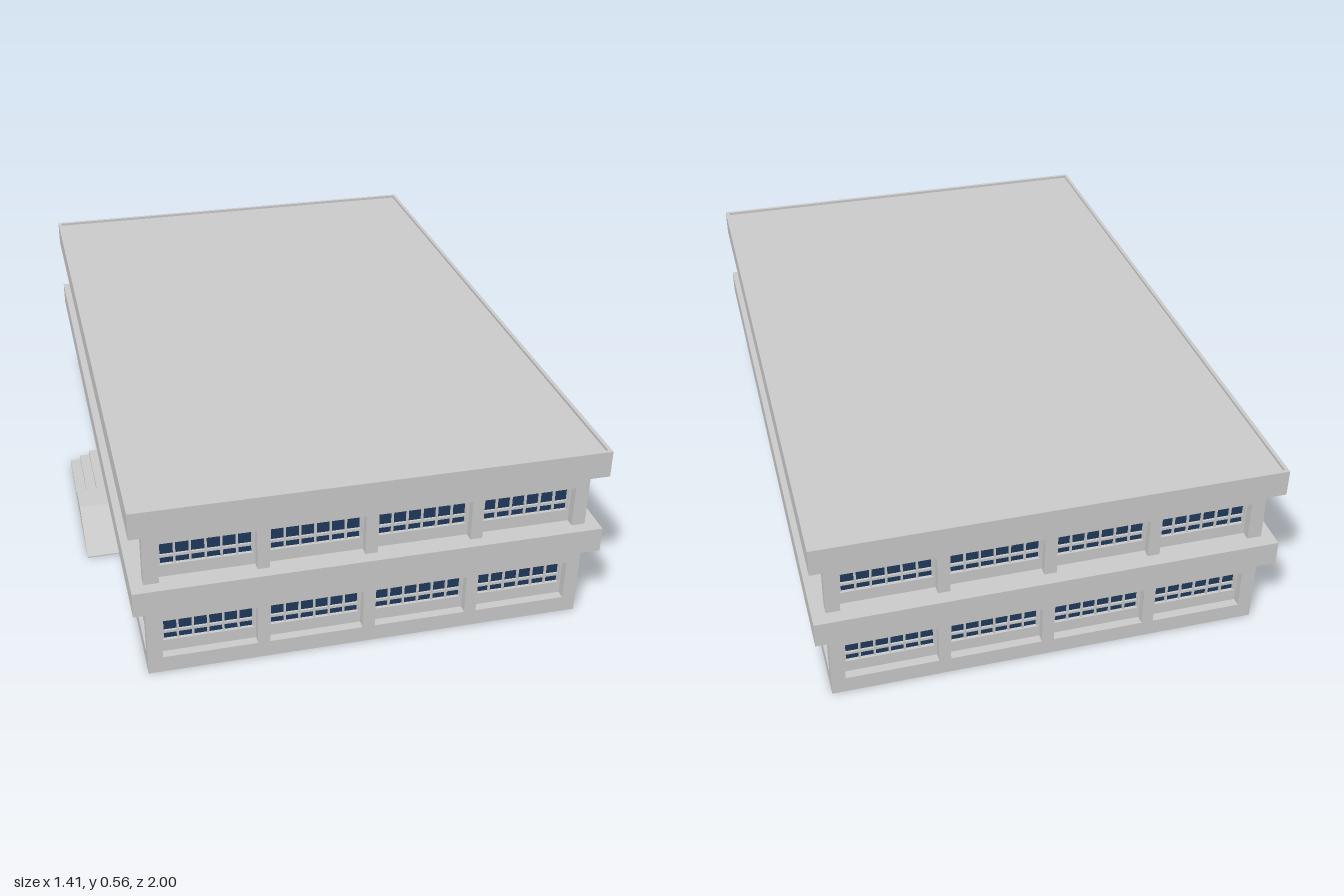
import * as THREE from 'three';
import { mergeGeometries } from 'three/addons/utils/BufferGeometryUtils.js';

const wallMat = new THREE.MeshStandardMaterial({ color: 0xcccccc });
const glassMat = new THREE.MeshStandardMaterial({ color: 0x203a5c });
const greenMat = new THREE.MeshStandardMaterial({ color: 0x2a9a78 });

const X0 = -0.597, X1 = 0.663, Z0 = -0.96, Z1 = 0.965; // outer wall faces
const CX = (X0 + X1) / 2, CZ = (Z0 + Z1) / 2;
const DEPTH = 0.026, FLOOR = 0.255;

function add(parent, name, geo, mat = wallMat) {
  const m = new THREE.Mesh(geo, mat);
  m.name = name;
  parent.add(m);
  return m;
}

// Box given by its lower and upper corners
function span(x0, x1, y0, y1, z0, z1) {
  return new THREE.BoxGeometry(x1 - x0, y1 - y0, z1 - z0)
    .translate((x0 + x1) / 2, (y0 + y1) / 2, (z0 + z1) / 2);
}

function rectPoints([x0, x1, y0, y1]) {
  return [[x0, y0], [x1, y0], [x1, y1], [x0, y1]].map(p => new THREE.Vector2(...p));
}

// Plate with rectangular holes, front face at z = front
function plate(outer, holes, front, thick) {
  const s = new THREE.Shape(rectPoints(outer));
  holes.forEach(h => s.holes.push(new THREE.Path(rectPoints(h).reverse())));
  return new THREE.ExtrudeGeometry(s, { depth: thick, bevelEnabled: false }).translate(0, 0, front - thick);
}

// Glass with a grid of bars; bars at the given heights cross the whole width
function glazing(parent, [a, b, c, d], columns, rails) {
  add(parent, 'glass', span(a, b, c, d, -0.042, -0.036), glassMat);
  const bars = [];
  for (let i = 0; i <= columns; i++) {
    const x = a + (b - a) * i / columns;
    bars.push(span(x - 0.003, x + 0.003, c, d, -0.038, -0.03));
  }
  rails.forEach(y => bars.push(span(a, b, y - 0.004, y + 0.004, -0.038, -0.03)));
  add(parent, 'windowBars', mergeGeometries(bars));
}

// Recessed panel holding a ribbon window
function windowBay(parent, a, b, base) {
  const g = new THREE.Group();
  g.name = 'windowBay';
  const win = [a + 0.006, b - 0.006, base + 0.038, base + 0.121];
  add(g, 'windowPanel', plate([a, b, base, base + 0.125], [win], -DEPTH, 0.012));
  glazing(g, win, 6, [base + 0.063]);
  parent.add(g);
}

// Solid panel with two small square windows
function blankBay(parent, a, b, base, centres) {
  const g = new THREE.Group();
  g.name = 'blankBay';
  const wins = centres.map(u => [u - 0.018, u + 0.018, base + 0.065, base + 0.101]);
  add(g, 'blankPanel', plate([a, b, base, base + 0.125], wins, -0.012, 0.024));
  wins.forEach(([x0, x1, y0, y1]) => {
    add(g, 'smallGlass', span(x0, x1, y0, y1, -0.03, -0.022), glassMat);
    add(g, 'smallFrame', plate([x0, x1, y0, y1], [[x0 + 0.006, x1 - 0.006, y0 + 0.006, y1 - 0.006]], -0.009, 0.014));
  });
  parent.add(g);
}

// Entrance bay: glazed doors, a solid pier and a side window
function entranceBay(parent, a, b) {
  const g = new THREE.Group();
  g.name = 'entrance';
  glazing(g, [a, a + 0.165, 0.045, 0.175], 4, [0.049, 0.14]);
  add(g, 'doorPier', span(a + 0.165, a + 0.225, 0.045, 0.175, -0.045, -0.005));
  const win = [a + 0.235, b - 0.008, 0.112, 0.168];
  add(g, 'sidePanel', plate([a + 0.225, b, 0.045, 0.175], [win], -DEPTH, 0.012));
  glazing(g, win, 2, [0.125]);
  parent.add(g);
}

// Wall face in local space: x along the wall, z outwards
function facade(root, name, half, bays, special = {}) {
  const g = new THREE.Group();
  g.name = name;
  const holes = [];
  bays.forEach(([a, b], i) => [0.05, 0.05 + FLOOR].forEach((base, storey) => {
    const kind = storey === 0 ? special[i] : undefined;
    const foot = kind === entranceBay ? 0.045 : base;
    holes.push([a, b, foot, base + 0.125]);
    (kind || windowBay)(g, a, b, base);
  }));
  add(g, 'wallWithPillars', plate([-half, half, 0, 0.49], holes, 0, DEPTH));
  root.add(g);
  return g;
}

export function createModel() {
  const root = new THREE.Group();
  root.name = 'building';

  // Solid core behind the walls
  add(root, 'core', span(X0 + 0.04, X1 - 0.04, 0, 0.49, Z0 + 0.04, Z1 - 0.04));

  // Front and back, four bays each
  const endBays = [-0.555, -0.252, 0.052, 0.355].map(x => [x - CX, x + 0.268 - CX]);
  const front = facade(root, 'frontWall', (X1 - X0) / 2, endBays);
  front.position.set(CX, 0, Z1);
  const back = facade(root, 'backWall', (X1 - X0) / 2, endBays.map(([a, b]) => [-b, -a]));
  back.position.set(CX, 0, Z0);
  back.rotation.y = Math.PI;

  // Long sides, five bays each
  const sideBays = [-0.927, -0.548, -0.168, 0.211, 0.59].map(z => [z - CZ, z + 0.34 - CZ]);
  const halfZ = (Z1 - Z0) / 2;
  const small = [0.7, 0.83].map(z => z - CZ);
  const left = facade(root, 'entranceWall', halfZ, sideBays, {
    2: entranceBay,
    4: (p, a, b, y) => blankBay(p, a, b, y, small),
  });
  left.position.set(X0, 0, CZ);
  left.rotation.y = -Math.PI / 2;
  const right = facade(root, 'sideWall', halfZ, sideBays.map(([a, b]) => [-b, -a]), {
    4: (p, a, b, y) => blankBay(p, a, b, y, small.map(z => -z)),
  });
  right.position.set(X1, 0, CZ);
  right.rotation.y = Math.PI / 2;

  // Small units and tags on the side wall
  [[-0.135, 0.414, wallMat], [-0.235, 0.414, greenMat], [-0.615, 0.414, wallMat]].forEach(([z, y, mat]) =>
    add(root, 'windowUnit', span(X1 - 0.04, X1 - 0.02, y - 0.01, y + 0.01, z - 0.022, z + 0.022), mat));
  add(root, 'wallTag', span(X1 - 0.002, X1 + 0.002, 0.133, 0.143, -0.197, -0.173), greenMat);

  // Overhanging floor band and roof with a low rim
  add(root, 'floorBand', span(-0.633, 0.702, 0.23, 0.305, -1, 1));
  add(root, 'roofSlab', span(-0.622, 0.691, 0.48, 0.552, -0.989, 0.989));
  const rim = plate([-0.633, 0.702, -1, 1], [[-0.622, 0.691, -0.989, 0.989]], 0, 0.08);
  add(root, 'roofRim', rim.rotateX(-Math.PI / 2).translate(0, 0.56, 0));

  // Entrance steps, landing and ramp
  const porch = new THREE.Group();
  porch.name = 'porch';
  [[-0.705, 0.015], [-0.672, 0.03], [-0.64, 0.045]].forEach(([x, y]) =>
    add(porch, 'step', span(x, X0 + 0.01, 0, y, -0.17, 0.07)));
  add(porch, 'landing', span(-0.705, X0 + 0.01, 0, 0.045, 0.07, 0.17));
  const wedge = new THREE.Shape([[-0.17, 0], [-0.17, 0.045], [-0.39, 0.004], [-0.39, 0]].map(p => new THREE.Vector2(...p)));
  const ramp = add(porch, 'ramp', new THREE.ExtrudeGeometry(wedge, { depth: 0.118, bevelEnabled: false }));
  ramp.rotation.y = Math.PI / 2;
  ramp.position.x = -0.705;
  root.add(porch);

  return root;
}
